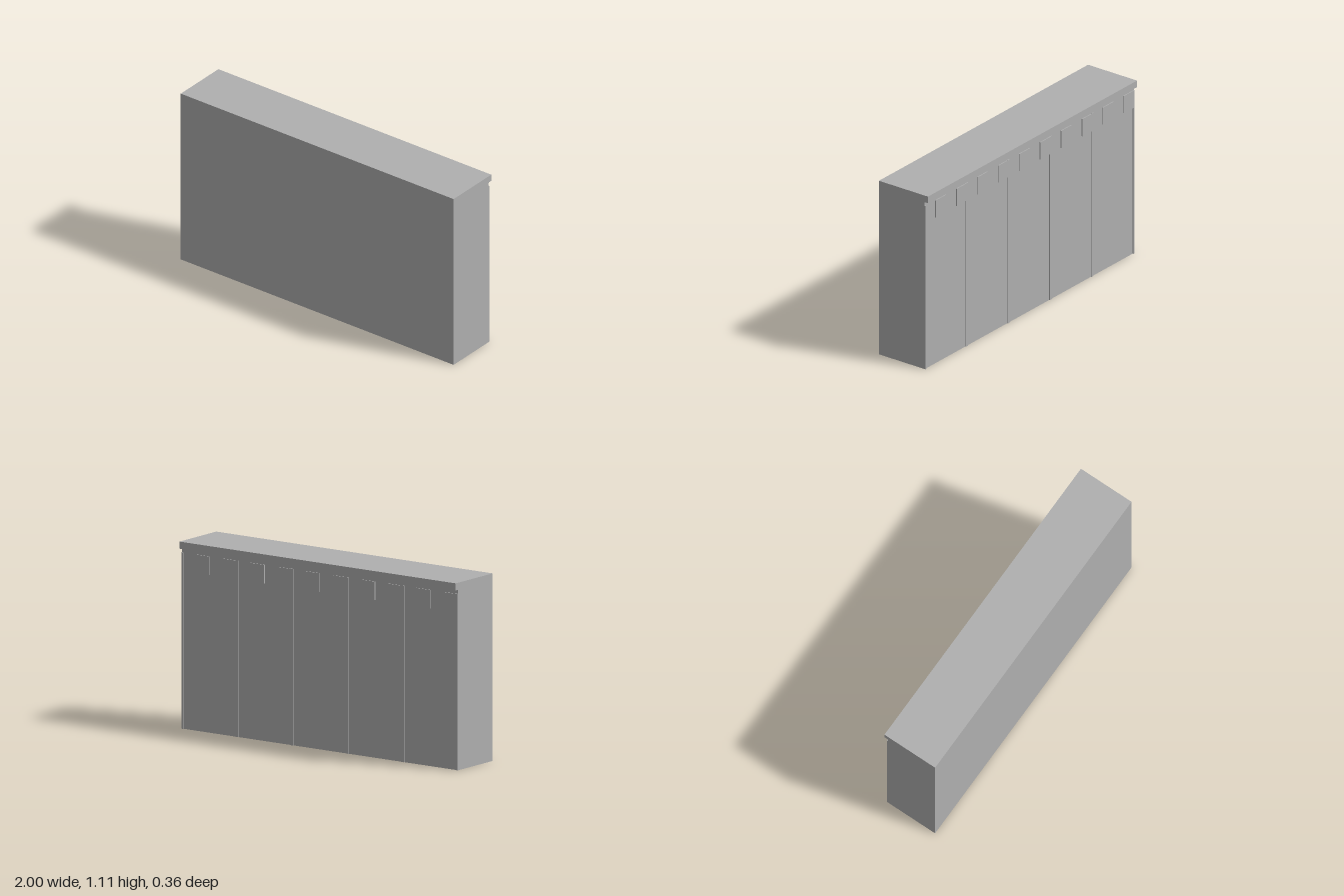
import * as THREE from 'three';

const BACK = -0.155;  // wall face behind the strips
const BOTTOM = 0.935, TOP = 1.046; // block and strip heights

export function createModel() {
  const model = new THREE.Group();
  model.name = 'wallSection';
  const grey = new THREE.MeshStandardMaterial({ color: 0xb0b0b0 });
  grey.name = 'plain grey';

  // Plate standing proud of the back face, between two x and two y values
  const backPlate = (name, x0, x1, y0, y1, depth) => {
    const plate = new THREE.Mesh(new THREE.BoxGeometry(x1 - x0, y1 - y0, depth), grey);
    plate.position.set((x0 + x1) / 2, (y0 + y1) / 2, BACK - depth / 2);
    plate.name = name;
    model.add(plate);
  };

  // Wall and overhanging cornice as one section (drawn as -z, y) run along x
  const section = new THREE.Shape([
    [-0.179, 0], [-BACK, 0], [-BACK, 1.067], [-BACK + 0.003, 1.07],
    [0.179, 1.07], [0.179, 1.112], [-0.179, 1.112],
  ].map(([a, b]) => new THREE.Vector2(a, b)));
  const wallGeometry = new THREE.ExtrudeGeometry(section, { depth: 2, bevelEnabled: false });
  wallGeometry.translate(0, 0, -1).rotateY(Math.PI / 2);
  const wall = new THREE.Mesh(wallGeometry, grey);
  wall.name = 'wallWithCornice';
  model.add(wall);

  // Narrow upright strips, halved at both ends
  for (let i = 0; i <= 5; i++) {
    const x = -1 + i * 0.4;
    backPlate('strip', Math.max(-1, x - 0.01), Math.min(1, x + 0.01), 0, TOP, 0.005);
  }

  // Square blocks under the cornice
  for (let i = 0; i < 10; i++) {
    const x = -1 + i * 0.2;
    backPlate('corniceBlock', x, x + 0.1, BOTTOM, TOP - 0.001, 0.0055);
  }
  return model;
}
